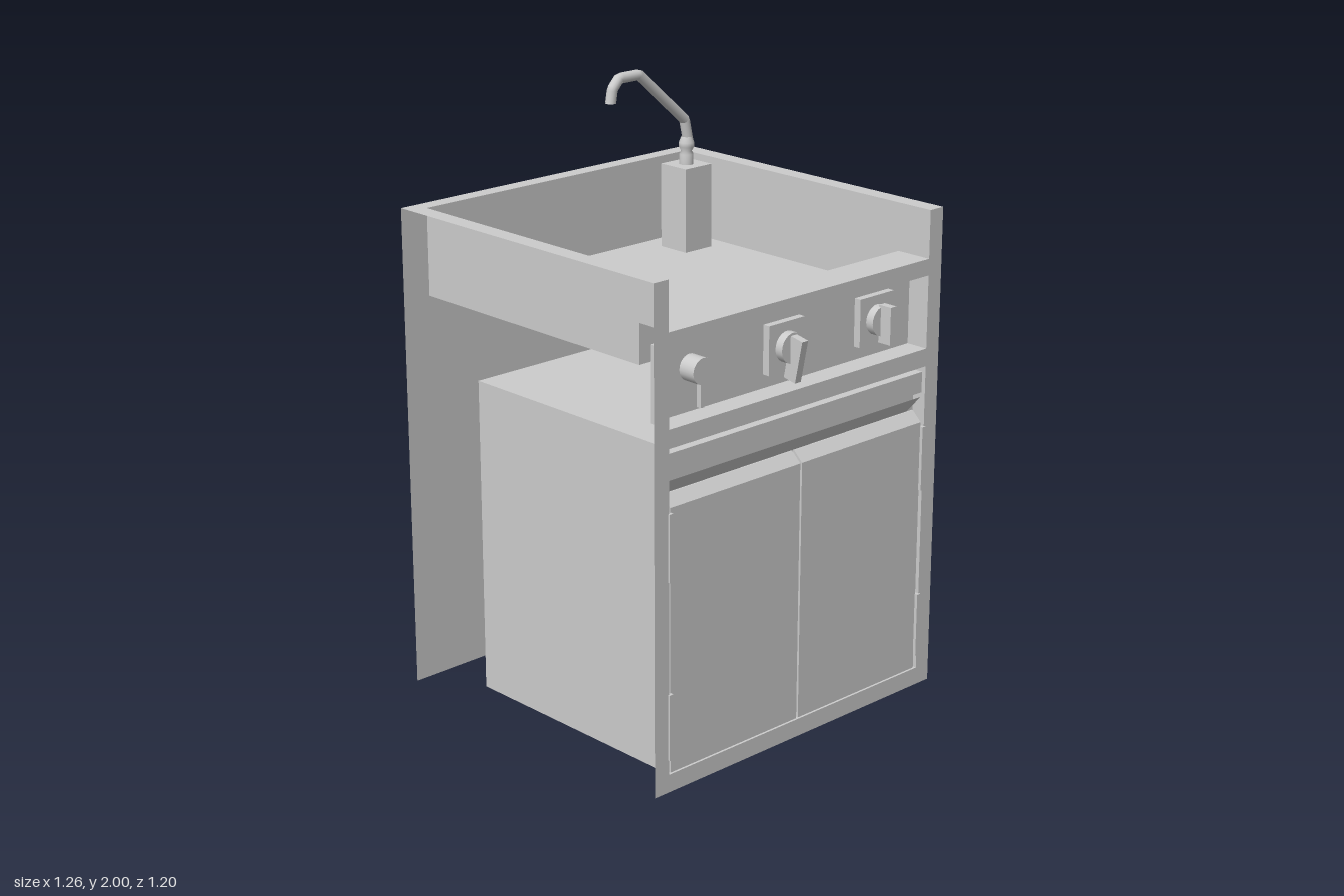
import * as THREE from 'three';

const mat = new THREE.MeshStandardMaterial({ color: 0xcccccc, side: THREE.DoubleSide });
const FACES = ['px', 'nx', 'py', 'ny', 'pz', 'nz'];

export function createModel() {
  const model = new THREE.Group();

  function add(name, geometry, parent = model) {
    const mesh = new THREE.Mesh(geometry, mat);
    mesh.name = name;
    parent.add(mesh);
    return mesh;
  }

  // Box from ranges; keep lists the faces that exist (all by default)
  function box(name, [x0, x1], [y0, y1], [z0, z1], keep = FACES, parent = model) {
    const g = new THREE.BoxGeometry(x1 - x0, y1 - y0, z1 - z0);
    g.translate((x0 + x1) / 2, (y0 + y1) / 2, (z0 + z1) / 2);
    const all = Array.from(g.index.array);
    g.setIndex(keep.flatMap((f) => all.slice(FACES.indexOf(f) * 6, FACES.indexOf(f) * 6 + 6)));
    g.clearGroups();
    return add(name, g, parent);
  }

  const poly = (pts) => pts.map(([x, y]) => new THREE.Vector2(x, y));
  const rect = (x0, x1, y0, y1) => poly([[x0, y0], [x1, y0], [x1, y1], [x0, y1]]);

  const W = 0.63, IN = 0.57, H = 1.645, LEDGE = 1.485, FLOOR = 1.355;
  const FRONT = 0.57, BACK = -0.605;

  // Outer shell: back and one side; the other side and underside are open
  box('shell', [-W, W], [0, H], [BACK, FRONT], ['px', 'nz']);

  // Front frame with openings for the controls and the cupboard
  const frame = new THREE.Shape(poly([
    [-W, 0], [W, 0], [W, H], [IN, H], [IN, LEDGE], [-IN, LEDGE], [-IN, H], [-W, H],
  ]));
  frame.holes.push(new THREE.Path(rect(-IN, IN, 1.185, 1.43)));
  frame.holes.push(new THREE.Path(rect(-IN, IN, 0.06, 1.125)));
  add('frontFrame', new THREE.ShapeGeometry(frame).translate(0, 0, FRONT));

  // Top rim: a U open to the front (shape y becomes -z)
  const rim = new THREE.Shape(poly([
    [-W, -FRONT], [-IN, -FRONT], [-IN, 0.55], [IN, 0.55], [IN, -FRONT], [W, -FRONT], [W, -BACK], [-W, -BACK],
  ]));
  add('topRim', new THREE.ShapeGeometry(rim).rotateX(-Math.PI / 2).translate(0, H, 0));

  // Sunken basin with a ledge along the front
  box('basinUpperWalls', [-IN, IN], [LEDGE, H], [-0.55, FRONT], ['px', 'nx', 'nz']);
  box('basin', [-IN, IN], [FLOOR, LEDGE], [-0.55, 0.44], ['px', 'nx', 'ny', 'pz', 'nz']);
  box('frontLedge', [-IN, IN], [LEDGE - 0.01, LEDGE], [0.44, FRONT], ['py']);

  // Faucet on its block
  box('faucetBlock', [0.38, 0.5], [FLOOR, H], [-0.47, -0.35]);
  const base = [[0.024, 0], [0.024, 0.035], [0.018, 0.045], [0.026, 0.06], [0.026, 0.075], [0.018, 0.095]];
  add('faucetBase', new THREE.LatheGeometry(poly(base), 20).translate(0.44, H, -0.41));
  const path = [[0.44, 1.69], [0.448, 1.72], [0.43, 1.8], [0.22, 1.982], [0.132, 1.982], [0.102, 1.95], [0.094, 1.905]];
  const spout = new THREE.CatmullRomCurve3(
    path.map(([x, y]) => new THREE.Vector3(x, y, -0.41)), false, 'catmullrom', 0);
  add('faucetSpout', new THREE.TubeGeometry(spout, 70, 0.018, 14));
  add('spoutEnd', new THREE.CircleGeometry(0.018, 14).rotateX(Math.PI / 2).translate(0.094, 1.905, -0.41));

  // Recessed control panel
  const PZ = 0.49;
  box('controlRecess', [-IN, IN], [1.185, 1.43], [PZ, FRONT], ['px', 'nx', 'py', 'ny', 'nz']);

  const disc = (r, len) => new THREE.CylinderGeometry(r, r, len, 24).rotateX(Math.PI / 2);

  // Two rotary knobs on square plates
  function knob(x, tilt, low, high, reach) {
    const g = new THREE.Group();
    g.name = 'controlKnob';
    g.position.set(x, 1.31, PZ);
    model.add(g);
    box('knobPlate', [-0.078, 0.078], [-0.08, 0.08], [0, 0.025], FACES, g);
    add('knobDisc', disc(0.05, 0.03), g).position.z = 0.038;
    const grip = box('knobGrip', [-0.013, 0.013], [low, high], [0.045, reach], FACES, g);
    grip.rotation.x = tilt;
  }
  knob(-0.02, 0.2, -0.09, 0.052, 0.094);
  knob(0.39, 0, -0.07, 0.055, 0.095);

  // Small lever
  add('leverHub', disc(0.042, 0.06)).position.set(-0.41, 1.325, PZ + 0.03);
  box('leverStem', [-0.418, -0.402], [1.21, 1.3], [0.53, 0.546]);

  // Cupboard carcass, open to the front
  box('cupboardCarcass', [-IN, IN], [0.06, 1.125], [-0.31, FRONT], ['px', 'nx', 'py', 'ny', 'nz']);
  box('cupboardBacking', [-IN, IN], [0.06, 1.125], [0.51, 0.52], ['pz']);
  box('cupboardRail', [-0.565, 0.565], [1.035, 1.105], [0.52, 0.56]);

  // Sloped lip of the finger groove, tapering towards the bottom
  const lip = new THREE.PlaneGeometry(1.12, 0.05);
  const p = lip.attributes.position;
  for (let i = 0; i < p.count; i++) {
    const top = p.getY(i) > 0;
    p.setXYZ(i, Math.sign(p.getX(i)) * (top ? 0.56 : 0.535), top ? 1.02 : 0.968, top ? 0.56 : 0.525);
  }
  lip.computeVertexNormals();
  add('grooveLip', lip);

  // Pair of doors with bevelled top edges, and their hinges
  const profile = new THREE.Shape(poly([[0.525, 0.062], [0.565, 0.062], [0.565, 0.935], [0.53, 0.968], [0.525, 0.968]]));
  for (const side of [-1, 1]) {
    const door = new THREE.ExtrudeGeometry(profile, { depth: 0.556, bevelEnabled: false });
    door.rotateY(-Math.PI / 2).translate(side > 0 ? 0.56 : -0.004, 0, 0);
    add('door', door);
    for (const y of [0.11, 0.7]) {
      const x = side * 0.566;
      box('hinge', [x - 0.008, x + 0.008], [y, y + 0.22], [0.55, 0.576]);
    }
  }
  return model;
}
